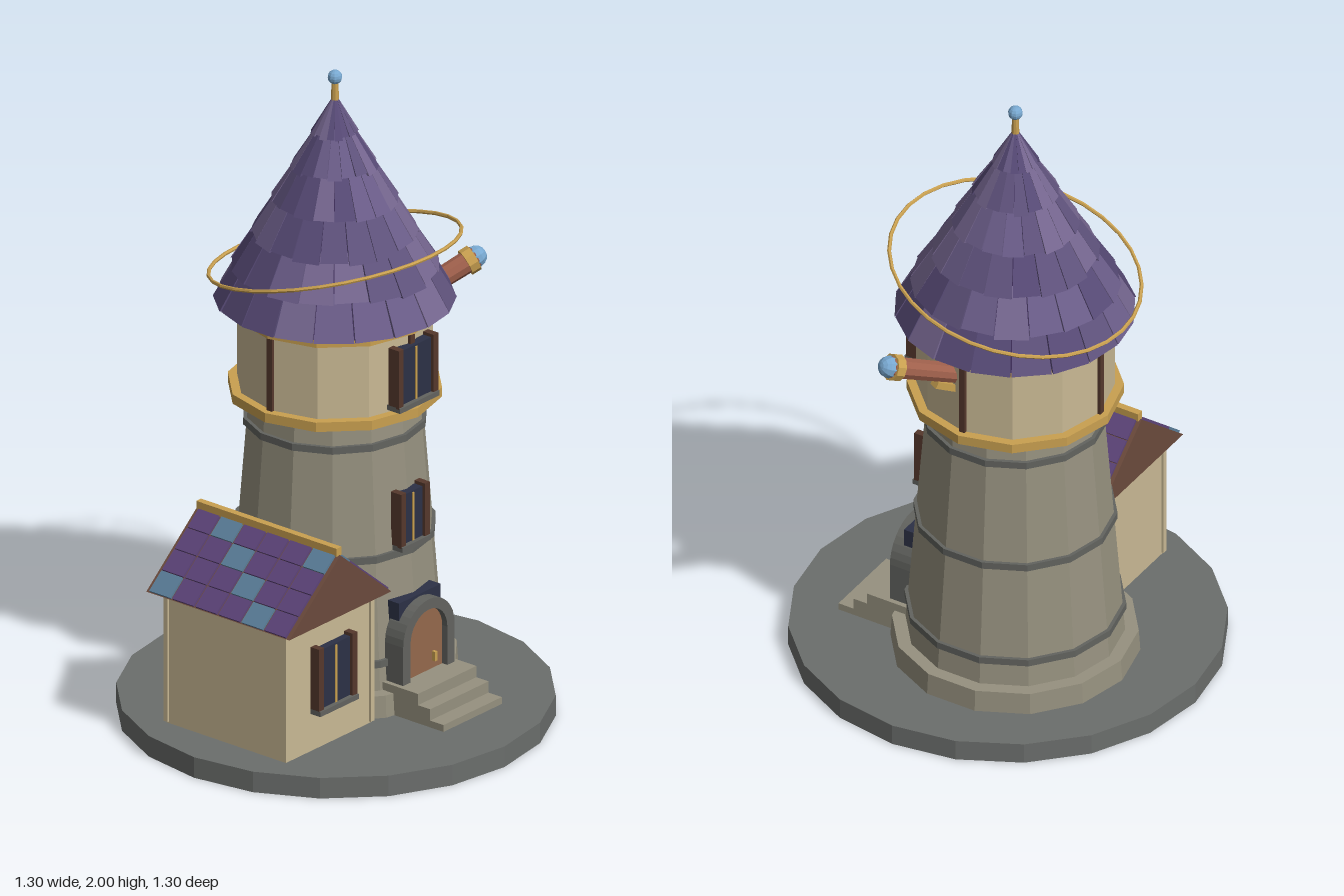
import * as THREE from 'three';
import { mergeGeometries } from 'three/addons/utils/BufferGeometryUtils.js';

const mat = (color) => new THREE.MeshStandardMaterial({ color, flatShading: true });
const M = {
  rock: mat(0x6b6e6c), stone: mat(0x96917f), trim: mat(0x62635f), cream: mat(0xc9b994), gold: mat(0xc9a050),
  wood: mat(0x55382c), gable: mat(0x6b4a3c), door: mat(0x94694c), glass: mat(0x2c3146), copper: mat(0xa0604c),
  blue: mat(0x78a8d0), tile: mat(0x5c4378), tileBlue: mat(0x5a7d98), under: mat(0x3d2c58),
};
const SHINGLES = [0x5f527c, 0x6a5c88, 0x574a76, 0x75668f].map(mat);

function add(parent, name, geo, material, x = 0, y = 0, z = 0) {
  const mesh = new THREE.Mesh(geo, material);
  mesh.name = name;
  mesh.position.set(x, y, z);
  parent.add(mesh);
  return mesh;
}
const box = (p, name, m, w, h, d, x, y, z) => add(p, name, new THREE.BoxGeometry(w, h, d), m, x, y, z);
// Cylinder placed by its bottom and top heights
const drum = (p, name, m, rTop, rBottom, y0, y1, sides) =>
  add(p, name, new THREE.CylinderGeometry(rTop, rBottom, y1 - y0, sides), m, 0, (y0 + y1) / 2, 0);

function group(parent, name, x = 0, y = 0, z = 0) {
  const g = new THREE.Group();
  g.name = name;
  g.position.set(x, y, z);
  parent.add(g);
  return g;
}

// Shuttered window, its origin at the bottom middle of the wall face
function addWindow(parent, name, w, h, x, y, z) {
  const g = group(parent, name, x, y, z);
  box(g, 'glass', M.glass, w - 0.03, h - 0.02, 0.03, 0, h / 2, 0);
  box(g, 'mullion', M.gold, 0.008, h - 0.03, 0.012, 0, h / 2, 0.012);
  box(g, 'sill', M.trim, w, 0.016, 0.05, 0, 0.008, 0.005);
  for (const s of [-1, 1]) box(g, 'shutter', M.wood, 0.022, h - 0.012, 0.04, s * (w / 2 - 0.011), h / 2 + 0.006, 0.005);
}

// One roof shingle: a box bent onto a cone between two angles
function shingle(a0, a1, y0, y1, r0, r1, thick) {
  const geo = new THREE.BoxGeometry(1, 1, 1);
  const p = geo.attributes.position;
  for (let i = 0; i < p.count; i++) {
    const a = p.getX(i) < 0 ? a0 : a1;
    const top = p.getY(i) > 0;
    const r = Math.max(0.004, (top ? r1 : r0) - (p.getZ(i) > 0 ? 0 : thick));
    p.setXYZ(i, Math.sin(a) * r, top ? y1 : y0, Math.cos(a) * r);
  }
  return geo;
}

function buildRoof(tower) {
  const roof = group(tower, 'towerRoof');
  const yBase = 1.275, yTop = 1.92, R = 0.36, n = 18, rows = 6;
  drum(roof, 'roofCore', M.under, 0.004, R - 0.02, yBase + 0.005, yTop - 0.01, n);
  const radius = (y) => R * (yTop - y) / (yTop - yBase);
  const buckets = SHINGLES.map(() => []);
  let seed = 7;
  const random = () => (seed = (seed * 16807) % 2147483647) / 2147483647;
  for (let row = 0; row < rows; row++) {
    const y0 = yBase + row * 0.1075;
    const y1 = Math.min(y0 + 0.125, yTop);
    for (let i = 0; i < n; i++) {
      const a = (i + (row % 2) / 2) * 2 * Math.PI / n;
      const lift = (row ? 0.008 : 0) - random() * 0.005;
      const drop = row ? random() * 0.012 : 0;
      buckets[Math.floor(random() * 4)].push(
        shingle(a, a + 2 * Math.PI / n - 0.012, y0 - drop, y1, radius(y0 - drop) + lift, radius(y1) - 0.002, 0.014));
    }
  }
  buckets.forEach((b, i) => b.length && add(roof, 'shingles', mergeGeometries(b), SHINGLES[i]));
  drum(roof, 'finialRod', M.gold, 0.01, 0.013, 1.88, 1.965, 8);
  add(roof, 'finialBall', new THREE.SphereGeometry(0.022, 10, 8), M.blue, 0, 1.978, 0);
  // Tilted ring floating around the roof
  const ring = add(roof, 'orbitRing', new THREE.TorusGeometry(0.379, 0.006, 6, 32), M.gold, 0, 1.417, 0);
  ring.rotation.x = Math.PI / 2 - 0.236;
}

function buildTelescope(root) {
  const a = new THREE.Vector3(0.34, 1.17, -0.05), b = new THREE.Vector3(0.56, 1.285, 0.064);
  const len = a.distanceTo(b);
  const g = group(root, 'telescope', a.x, a.y, a.z);
  g.quaternion.setFromUnitVectors(new THREE.Vector3(0, 1, 0), b.clone().sub(a).normalize());
  drum(g, 'telescopeTube', M.copper, 0.034, 0.03, 0, len, 10);
  drum(g, 'telescopeBand', M.gold, 0.041, 0.041, len - 0.035, len - 0.005, 10);
  add(g, 'telescopeLens', new THREE.SphereGeometry(0.034, 10, 8), M.blue, 0, len, 0);
  const bracket = box(root, 'telescopeBracket', M.gold, 0.09, 0.022, 0.03, 0.395, 1.155, -0.03);
  bracket.rotation.set(0, -0.45, 0.5);
}

function buildTower(root) {
  const t = group(root, 'tower', 0.096, 0, -0.085);
  drum(t, 'plinth', M.stone, 0.365, 0.37, 0.06, 0.135, 14);
  drum(t, 'towerWall', M.stone, 0.258, 0.325, 0.13, 0.98, 14);
  for (const [y, r] of [[0.22, 0.328], [0.545, 0.302], [0.895, 0.275]])
    drum(t, 'stoneBand', M.trim, r, r, y - 0.011, y + 0.011, 14);
  // Upper chamber between two gold rings
  drum(t, 'chamber', M.cream, 0.293, 0.293, 0.98, 1.28, 12);
  drum(t, 'lowerRing', M.gold, 0.32, 0.32, 0.975, 1.005, 12);
  drum(t, 'upperRing', M.gold, 0.308, 0.308, 1.24, 1.268, 12);
  for (let i = 0; i < 4; i++) {
    const a = i * Math.PI / 2;
    box(t, 'chamberPost', M.wood, 0.02, 0.235, 0.02, Math.sin(a) * 0.29, 1.122, Math.cos(a) * 0.29).rotation.y = a;
  }
  addWindow(t, 'chamberWindow', 0.18, 0.2, 0, 1.017, 0.297);
  addWindow(t, 'towerWindow', 0.13, 0.185, 0, 0.558, 0.285);
  buildRoof(t);
}

// Arch outline standing on y = 0
function archShape(w, h) {
  const r = w / 2, s = new THREE.Shape();
  s.moveTo(-r, 0);
  s.lineTo(r, 0);
  s.lineTo(r, h - r);
  s.absarc(0, h - r, r, 0, Math.PI, false);
  s.lineTo(-r, 0);
  return s;
}

function buildEntrance(root) {
  const e = group(root, 'entrance', 0.098, 0, 0);
  const frame = archShape(0.235, 0.245);
  frame.holes.push(archShape(0.168, 0.212));
  const extrude = (s, depth) => new THREE.ExtrudeGeometry(s, { depth, bevelEnabled: false, curveSegments: 8 });
  box(e, 'doorRecess', M.glass, 0.19, 0.255, 0.05, 0, 0.28, 0.215);
  add(e, 'doorFrame', extrude(frame, 0.07), M.trim, 0, 0.155, 0.205);
  add(e, 'door', extrude(archShape(0.17, 0.213), 0.055), M.door, 0, 0.155, 0.2);
  box(e, 'doorHandle', M.gold, 0.01, 0.03, 0.015, 0.042, 0.2, 0.26);
  [[0.088, 0.443], [0.124, 0.392], [0.16, 0.345]].forEach(([top, z]) =>
    box(e, 'step', M.stone, 0.266, top - 0.06, z - 0.17, 0, (top + 0.06) / 2, (z + 0.17) / 2));
}

function buildHouse(root) {
  const h = group(root, 'sideHouse', -0.318, 0, 0.01);
  box(h, 'houseWalls', M.cream, 0.39, 0.435, 0.46, 0, 0.2875, 0);
  for (const sx of [-1, 1]) for (const sz of [-1, 1])
    box(h, 'cornerPost', M.cream, 0.016, 0.42, 0.016, sx * 0.193, 0.285, sz * 0.228);
  addWindow(h, 'houseWindow', 0.175, 0.215, 0.005, 0.19, 0.238);
  // Gabled roof with tiled slopes
  const s = new THREE.Shape([[-0.233, 0.49], [0.233, 0.49], [0, 0.685]].map(([x, y]) => new THREE.Vector2(x, y)));
  add(h, 'houseRoof', new THREE.ExtrudeGeometry(s, { depth: 0.55, bevelEnabled: false }), M.gable, 0, 0, -0.275);
  const slope = Math.atan2(0.195, 0.233), tileLen = 0.304 / 4;
  for (const side of [-1, 1]) for (let i = 0; i < 6; i++) for (let c = 0; c < 4; c++) {
    const f = (c + 0.5) / 4;
    const tile = box(h, 'roofTile', (i + c) % 4 ? M.tile : M.tileBlue, tileLen - 0.003, 0.012, 0.081,
      side * 0.233 * (1 - f), 0.492 + 0.195 * f, (i - 2.5) * 0.0885);
    tile.rotation.z = -side * slope;
  }
  box(h, 'ridgeBeam', M.gold, 0.022, 0.026, 0.54, 0, 0.695, 0);
}

export function createModel() {
  const root = new THREE.Group();
  root.name = 'towerAndHouse';
  drum(root, 'groundDisc', M.rock, 0.648, 0.648, 0, 0.066, 20);
  buildTower(root);
  buildTelescope(root);
  buildEntrance(root);
  buildHouse(root);
  return root;
}
